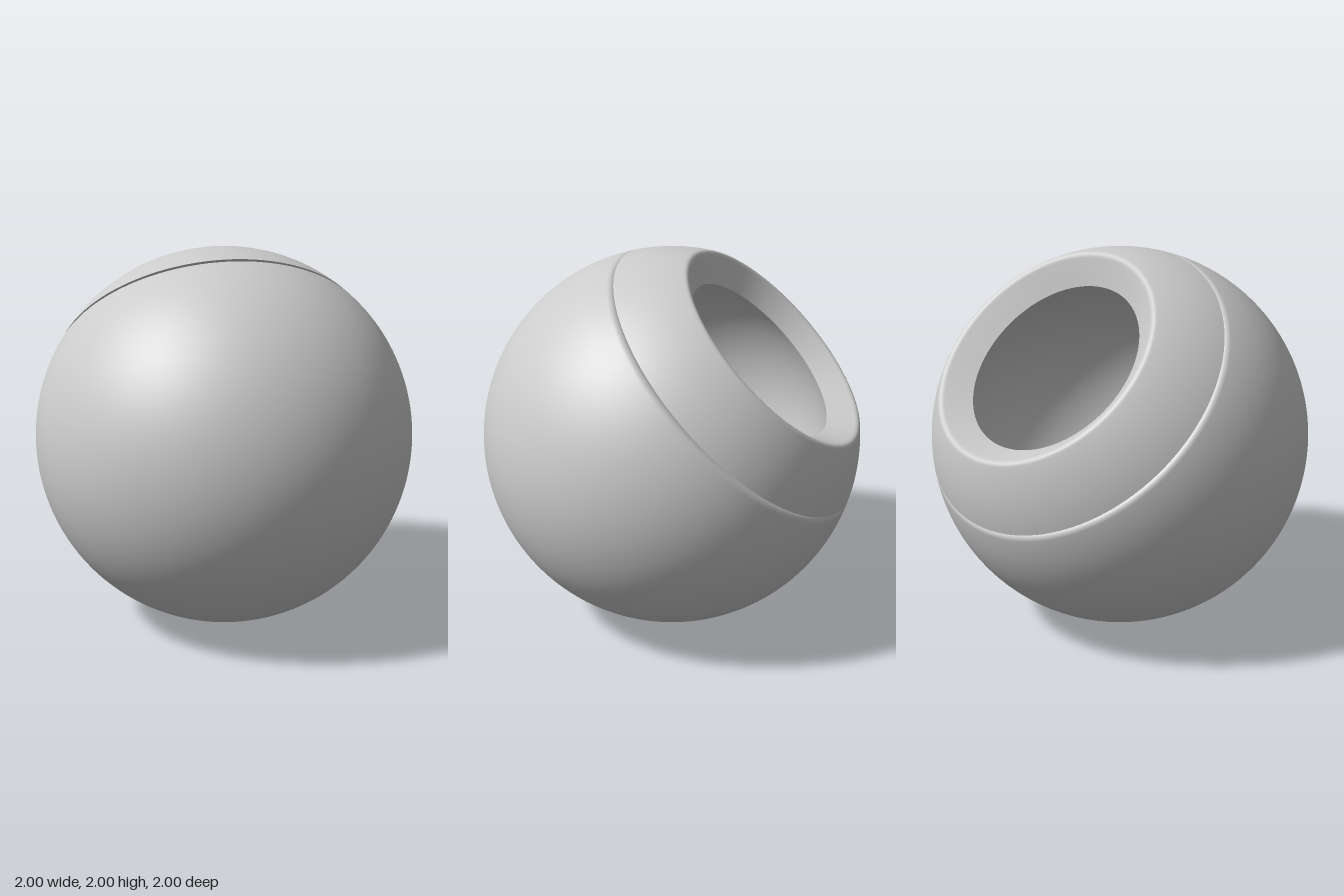
import * as THREE from 'three';

const SEGMENTS = 128;
const material = new THREE.MeshStandardMaterial({ color: 0xcccccc, side: THREE.DoubleSide });

// Points on a circle of the given radius, angles measured from the bottom pole
function arc(radius, from, to, steps) {
  const points = [];
  for (let i = 0; i <= steps; i++) {
    const a = from + ((to - from) * i) / steps;
    points.push(new THREE.Vector2(Math.max(0, radius * Math.sin(a)), -radius * Math.cos(a)));
  }
  return points;
}

// Rounded corner between a and c, bending towards b
function fillet(a, b, c) {
  return new THREE.QuadraticBezierCurve(a, b, c).getPoints(6);
}

const angleAt = (height, radius) => Math.acos(-height / radius);
const v = (x, y) => new THREE.Vector2(x, y);

function turned(name, points) {
  const mesh = new THREE.Mesh(new THREE.LatheGeometry(points, SEGMENTS), material);
  mesh.name = name;
  return mesh;
}

export function createModel() {
  const model = new THREE.Group();
  model.name = 'hollowBall';

  // All parts are turned around one axis that leans up and back
  const turnedParts = new THREE.Group();
  turnedParts.name = 'tiltedShell';
  turnedParts.position.y = 1;
  turnedParts.rotation.x = -Math.PI / 4;
  model.add(turnedParts);

  // Main ball, its upper edge rounded into the seam
  const body = arc(1, 0, angleAt(0.48, 1), 72);
  const bodyEdge = body.pop();
  body.push(...fillet(bodyEdge, v(0.867, 0.499), v(0.845, 0.5)), v(0.82, 0.5));
  turnedParts.add(turned('body', body));

  // Floor of the narrow seam and the underside of the collar
  turnedParts.add(turned('seamFloor', [v(0.83, 0.498), v(0.83, 0.514)]));
  turnedParts.add(turned('collarUnderside', [v(0.82, 0.512), v(0.857, 0.512)]));

  // Collar: spherical band, soft rim, then the funnel-like bevel
  const collar = arc(1, angleAt(0.512, 1), angleAt(0.772, 1), 20);
  const rimStart = collar.pop();
  collar.push(...fillet(rimStart, v(0.616, 0.79), v(0.593, 0.77)));
  collar.push(v(0.54, 0.724), v(0.485, 0.676));
  turnedParts.add(turned('collar', collar));

  // Spherical hollow inside
  const inner = Math.hypot(0.485, 0.676);
  turnedParts.add(turned('hollow', arc(inner, angleAt(0.676, inner), 0, 64)));

  return model;
}
